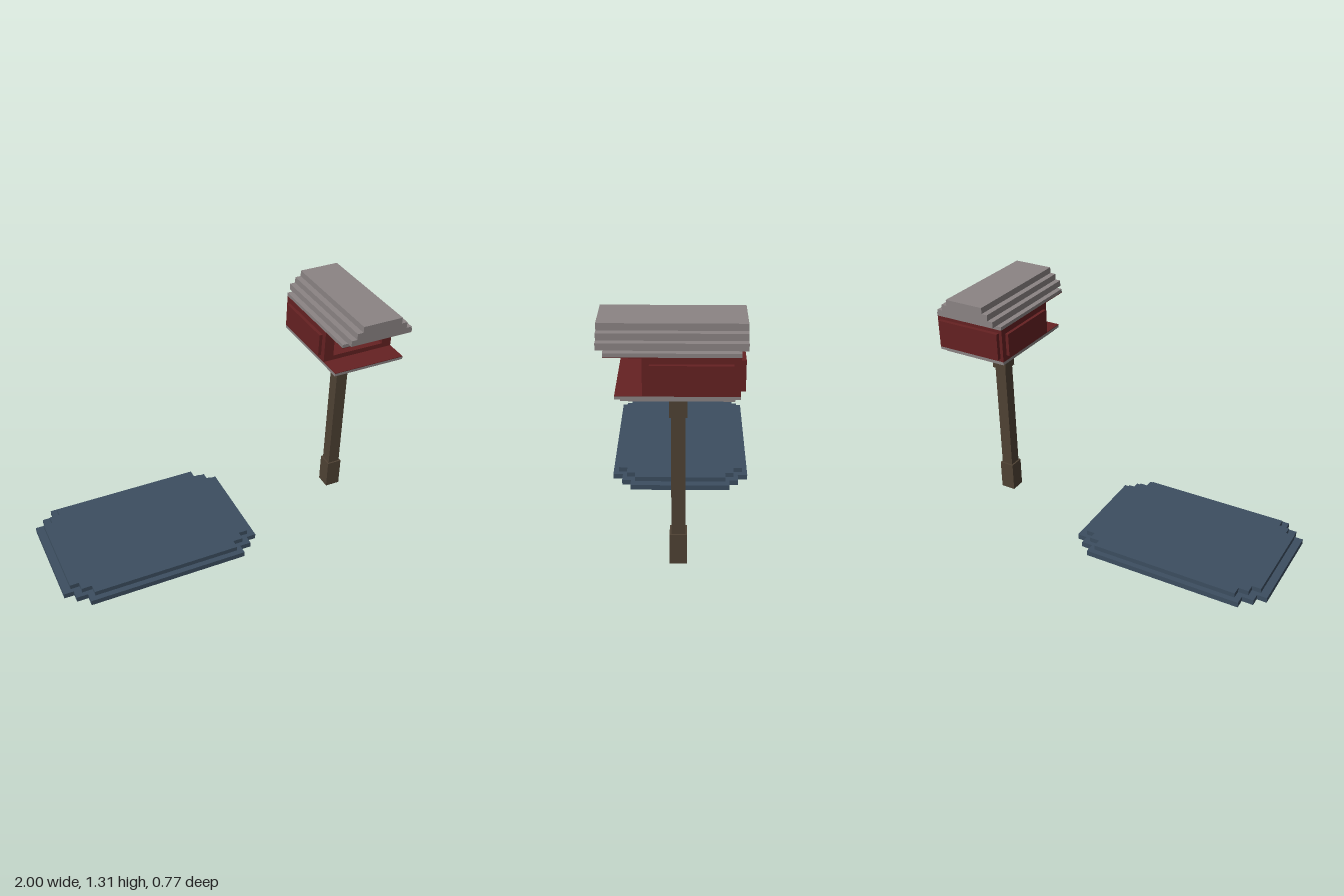
import * as THREE from 'three';

const slate = new THREE.MeshStandardMaterial({ color: 0x3c4e60 });
slate.name = 'slateBlue';
const wood = new THREE.MeshStandardMaterial({ color: 0x4f4234 });
wood.name = 'brownWood';
const red = new THREE.MeshStandardMaterial({ color: 0x652122 });
red.name = 'darkRed';
const grey = new THREE.MeshStandardMaterial({ color: 0x8b8484 });
grey.name = 'warmGrey';

const HOUSE_X = 0.775;
const POND_X = -0.435;

// Box given by half width about a centre x, and y and z ranges
function block(name, mat, cx, hw, y0, y1, z0, z1) {
  const mesh = new THREE.Mesh(new THREE.BoxGeometry(hw * 2, y1 - y0, z1 - z0), mat);
  mesh.position.set(cx, (y0 + y1) / 2, (z0 + z1) / 2);
  mesh.name = name;
  return mesh;
}

// Slab with stepped corners; steps are [half x, half z] pairs, widest x first
function steppedSlab(name, steps, y0, y1) {
  const quarter = [];
  steps.forEach(([x, z], i) => {
    quarter.push([x, i ? steps[i - 1][1] : 0], [x, z]);
  });
  quarter.shift();
  const back = [...quarter].reverse();
  const outline = [
    ...quarter,
    ...back.map(([x, z]) => [-x, z]),
    ...quarter.map(([x, z]) => [-x, -z]),
    ...back.map(([x, z]) => [x, -z]),
  ];
  const shape = new THREE.Shape(outline.map(([x, z]) => new THREE.Vector2(x, z)));
  const geo = new THREE.ExtrudeGeometry(shape, { depth: y1 - y0, bevelEnabled: false });
  geo.rotateX(-Math.PI / 2);
  const mesh = new THREE.Mesh(geo, slate);
  mesh.position.set(POND_X, y0, 0);
  mesh.name = name;
  return mesh;
}

function createBase() {
  const base = new THREE.Group();
  base.name = 'groundSlab';
  base.add(
    steppedSlab('lowerSlab', [[0.565, 0.28], [0.51, 0.33], [0.447, 0.385]], 0, 0.03),
    steppedSlab('upperSlab', [[0.522, 0.257], [0.472, 0.305], [0.415, 0.355]], 0.03, 0.057),
  );
  return base;
}

function createPost() {
  const post = new THREE.Group();
  post.name = 'post';
  [['postFoot', 0.043, 0, 0.17], ['postShaft', 0.034, 0.17, 0.815], ['postHead', 0.043, 0.815, 0.974]]
    .forEach(([name, h, y0, y1]) => post.add(block(name, wood, 0.772, h, y0, y1, -h, h)));
  return post;
}

function createHouse() {
  const house = new THREE.Group();
  house.name = 'house';

  // Floor boards with a red upper face
  house.add(
    block('floorLower', grey, HOUSE_X, 0.19, 0.974, 0.991, -0.252, 0.253),
    block('floorUpper', grey, HOUSE_X, 0.208, 0.991, 1.006, -0.275, 0.277),
    block('floorFace', red, HOUSE_X, 0.208, 1.006, 1.009, -0.275, 0.277),
  );

  // Hollow body, open at the front
  const shape = new THREE.Shape([[-0.208, 1.009], [0.208, 1.009], [0.208, 1.188], [-0.208, 1.188]]
    .map(([x, y]) => new THREE.Vector2(x, y)));
  shape.holes.push(new THREE.Path([[-0.151, 1.035], [-0.151, 1.16], [0.151, 1.16], [0.151, 1.035]]
    .map(([x, y]) => new THREE.Vector2(x, y))));
  const body = new THREE.Mesh(
    new THREE.ExtrudeGeometry(shape, { depth: 0.405, bevelEnabled: false }), red);
  body.position.set(HOUSE_X, 0, -0.25);
  body.name = 'bodyWalls';
  house.add(body, block('backWall', red, HOUSE_X, 0.208, 1.009, 1.188, -0.275, -0.25));

  // Raised wall panels
  house.add(block('backPanel', red, HOUSE_X, 0.19, 1.024, 1.172, -0.297, -0.275));
  for (const s of [-1, 1]) {
    house.add(block(s > 0 ? 'leftPanel' : 'rightPanel', red,
      HOUSE_X + s * 0.217, 0.009, 1.035, 1.16, -0.243, 0.123));
  }

  // Stepped roof with a red underside
  house.add(
    block('roofUnderside', red, HOUSE_X, 0.208, 1.188, 1.191, -0.277, 0.323),
    block('roofBoard', grey, HOUSE_X, 0.208, 1.191, 1.21, -0.277, 0.323),
  );
  [0.178, 0.147, 0.114].forEach((hw, i) => {
    const y = 1.21 + i * 0.0337;
    house.add(block('roofStep' + (i + 1), grey, HOUSE_X, hw, y, y + 0.0337, -0.308, 0.357));
  });
  return house;
}

export function createModel() {
  const model = new THREE.Group();
  model.name = 'birdhouseAndSlab';
  model.add(createBase(), createPost(), createHouse());
  return model;
}
